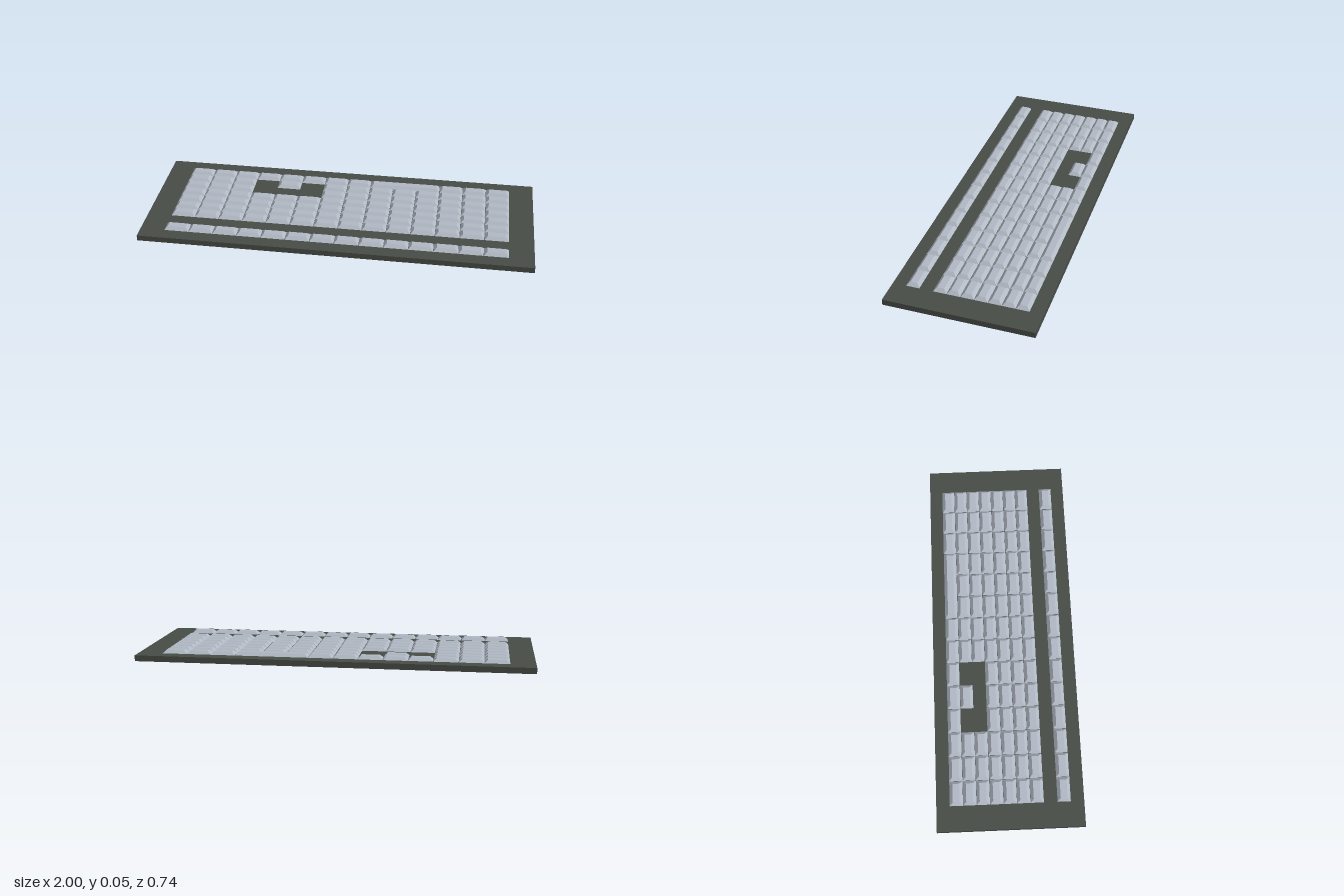
import * as THREE from 'three';

const PITCH_X = 0.125, PITCH_Z = 0.067, BASE_H = 0.03, KEY_H = 0.016, INSET = 0.016;

// Box whose top face is drawn in by the same margin on every side
function keyGeometry(width, depth) {
  const geo = new THREE.BoxGeometry(width, KEY_H, depth);
  const p = geo.attributes.position;
  for (let i = 0; i < p.count; i++) {
    if (p.getY(i) < 0) continue;
    p.setX(i, p.getX(i) - Math.sign(p.getX(i)) * INSET);
    p.setZ(i, p.getZ(i) - Math.sign(p.getZ(i)) * INSET);
  }
  geo.computeVertexNormals();
  return geo;
}

export function createModel() {
  const model = new THREE.Group();
  const baseMat = new THREE.MeshStandardMaterial({ color: 0x484c46 });
  baseMat.name = 'darkGrey';
  const keyMat = new THREE.MeshStandardMaterial({ color: 0xb2bac5 });
  keyMat.name = 'paleBlueGrey';

  // Flat slab
  const base = new THREE.Mesh(new THREE.BoxGeometry(2, BASE_H, 0.736), baseMat);
  base.name = 'basePlate';
  base.position.y = BASE_H / 2;
  model.add(base);

  // Keys on a grid: column 0 at the left of the board, row 0 at the back
  const keys = new THREE.Group();
  keys.name = 'keys';
  model.add(keys);
  const single = keyGeometry(PITCH_X - 0.001, PITCH_Z - 0.001);
  const wide = keyGeometry(3 * PITCH_X - 0.001, PITCH_Z - 0.001);

  function addKey(geo, col, row, name) {
    const key = new THREE.Mesh(geo, keyMat);
    key.name = name;
    key.position.set((col - 6.5) * PITCH_X, BASE_H + KEY_H / 2, (row - 4) * PITCH_Z);
    keys.add(key);
  }

  // Row 7 is left empty, setting the front row apart
  for (const row of [0, 1, 2, 3, 4, 5, 6, 8]) {
    for (let col = 0; col < 14; col++) {
      const underWideKey = row === 0 && col >= 8 && col <= 10;
      const inGap = (row === 1 && (col === 3 || col === 5)) || (row === 2 && col >= 3 && col <= 5);
      if (!underWideKey && !inGap) addKey(single, col, row, 'key');
    }
  }
  addKey(wide, 9, 0, 'wideKey');

  return model;
}
